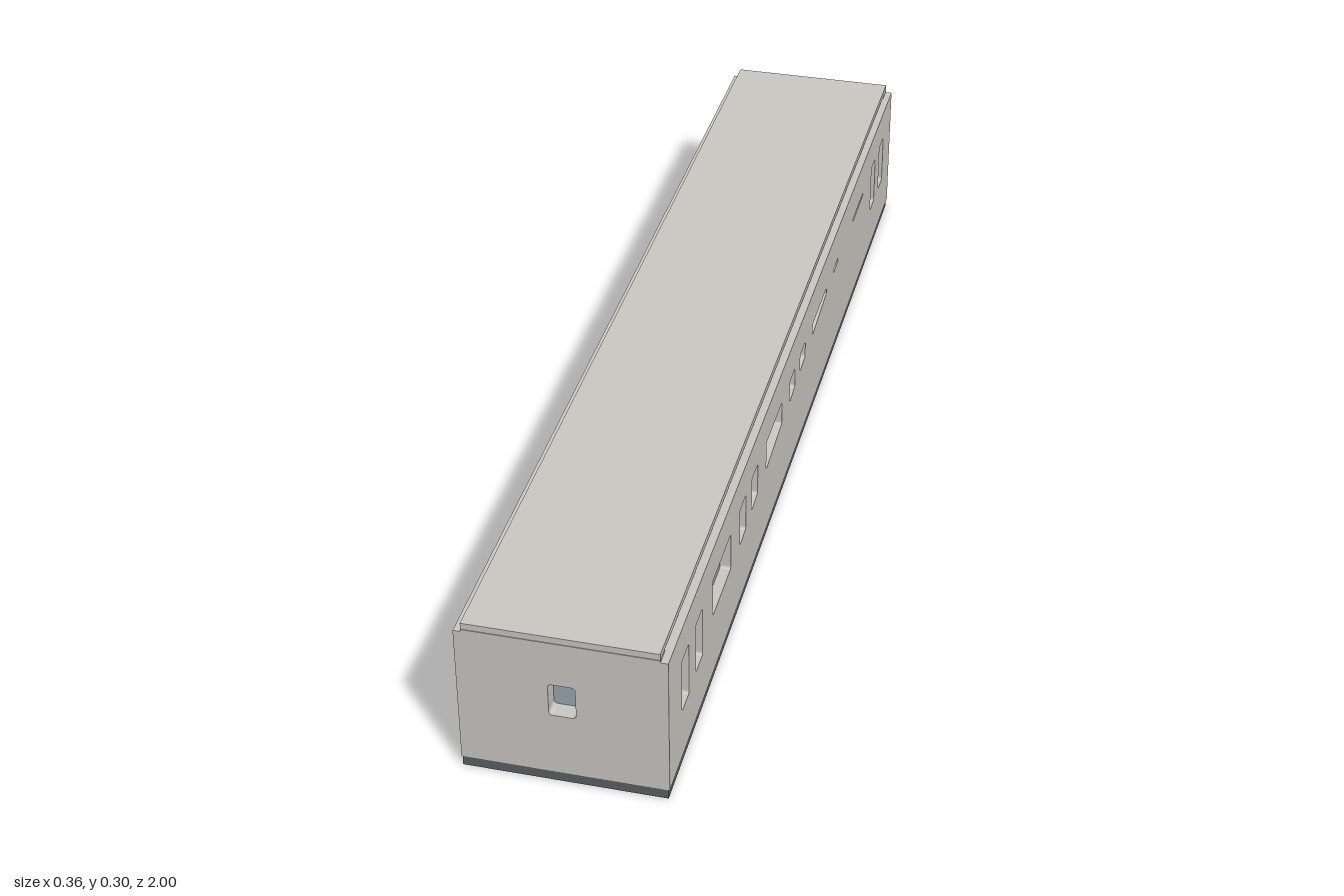
import * as THREE from 'three';

const paint = new THREE.MeshStandardMaterial({ color: 0xcbc9c3 });
const dark = new THREE.MeshStandardMaterial({ color: 0x5a6164 });
const glass = new THREE.MeshStandardMaterial({ color: 0x9aa8b0 });

// Side windows: [z front, z rear, sill height at front, sill height at rear, head height]
const commonWindows = [
  [0.915, 0.867, 0.115, 0.115, 0.22],
  [0.82, 0.772, 0.12, 0.12, 0.22],
  [0.70, 0.565, 0.145, 0.145, 0.22],
  [0.495, 0.447, 0.142, 0.145, 0.22],
  [0.40, 0.352, 0.15, 0.155, 0.22],
  [0.28, 0.145, 0.157, 0.168, 0.217],
  [0.075, 0.027, 0.17, 0.175, 0.217],
  [-0.02, -0.068, 0.178, 0.182, 0.217],
  [-0.14, -0.275, 0.187, 0.2, 0.213],
  [-0.865, -0.912, 0.115, 0.115, 0.22],
];
const leftWindows = [...commonWindows,
  [-0.35, -0.397, 0.204, 0.208, 0.214],
  [-0.56, -0.67, 0.206, 0.209, 0.213],
  [-0.77, -0.815, 0.115, 0.115, 0.22],
];
const rightWindows = [...commonWindows,
  [-0.35, -0.397, 0.196, 0.198, 0.216],
  [-0.445, -0.49, 0.2, 0.202, 0.214],
  [-0.77, -0.815, 0.14, 0.12, 0.22],
];

function rectangle(x0, x1, y0, y1) {
  return new THREE.Shape([[x0, y0], [x1, y0], [x1, y1], [x0, y1]].map(p => new THREE.Vector2(...p)));
}

// Four-cornered opening with small rounded corners
function opening(corners, radius) {
  const path = new THREE.Path();
  const pts = corners.map(c => new THREE.Vector2(...c));
  pts.forEach((p, i) => {
    const before = pts[(i + 3) % 4], after = pts[(i + 1) % 4];
    const r = Math.min(radius, p.distanceTo(before) / 3, p.distanceTo(after) / 3);
    const a = before.clone().sub(p).setLength(r).add(p);
    const b = after.clone().sub(p).setLength(r).add(p);
    if (i === 0) path.moveTo(a.x, a.y); else path.lineTo(a.x, a.y);
    path.quadraticCurveTo(p.x, p.y, b.x, b.y);
  });
  path.closePath();
  return path;
}

function extrude(shape, depth) {
  return new THREE.ExtrudeGeometry(shape, { depth, bevelEnabled: false, curveSegments: 4 });
}

// Pierced panel lying along z, from x0 to x1
function sidePanel(windows, halfLength, top, x0, x1) {
  const shape = rectangle(-halfLength, halfLength, 0.018, top);
  for (const [z0, z1, y0, y1, head] of windows) {
    shape.holes.push(opening([[-z0, y0], [-z0, head], [-z1, head], [-z1, y1]], 0.006));
  }
  return extrude(shape, x1 - x0).rotateY(Math.PI / 2).translate(x0, 0, 0);
}

export function createModel() {
  const model = new THREE.Group();
  const add = (name, geometry, material) => {
    const mesh = new THREE.Mesh(geometry, material);
    mesh.name = name;
    model.add(mesh);
  };
  const box = (name, w, h, d, x, y, z, material) =>
    add(name, new THREE.BoxGeometry(w, h, d).translate(x, y, z), material);

  // Floor and roof
  box('floor', 0.352, 0.018, 2, 0, 0.009, 0, dark);
  box('roof', 0.33, 0.012, 2, 0, 0.297, 0, paint);
  box('roofSeam', 0.326, 0.006, 1.996, 0, 0.289, 0, dark);

  // Side walls with an inner lining and a strip of glazing
  for (const [side, s, windows] of [['left', 1, leftWindows], ['right', -1, rightWindows]]) {
    const xs = (a, b) => (s > 0 ? [a, b] : [-b, -a]);
    add(side + 'Wall', sidePanel(windows, 1, 0.286, ...xs(0.165, 0.178)), paint);
    add(side + 'Lining', sidePanel(windows, 0.97, 0.286, ...xs(0.159, 0.165)), paint);
    box(side + 'Glazing', 0.003, 0.13, 1.93, s * 0.1575, 0.165, 0, glass);
  }

  // End walls, each with one small window
  for (const [end, s] of [['front', 1], ['rear', -1]]) {
    const shape = rectangle(-0.165, 0.165, 0.018, 0.29);
    shape.holes.push(opening([[-0.023, 0.14], [-0.023, 0.204], [0.023, 0.204], [0.023, 0.14]], 0.007));
    add(end + 'Wall', extrude(shape, 0.03).translate(0, 0, s > 0 ? 0.97 : -1), paint);
    box(end + 'Glazing', 0.07, 0.09, 0.003, 0, 0.172, s * 0.9685, glass);
  }
  return model;
}
